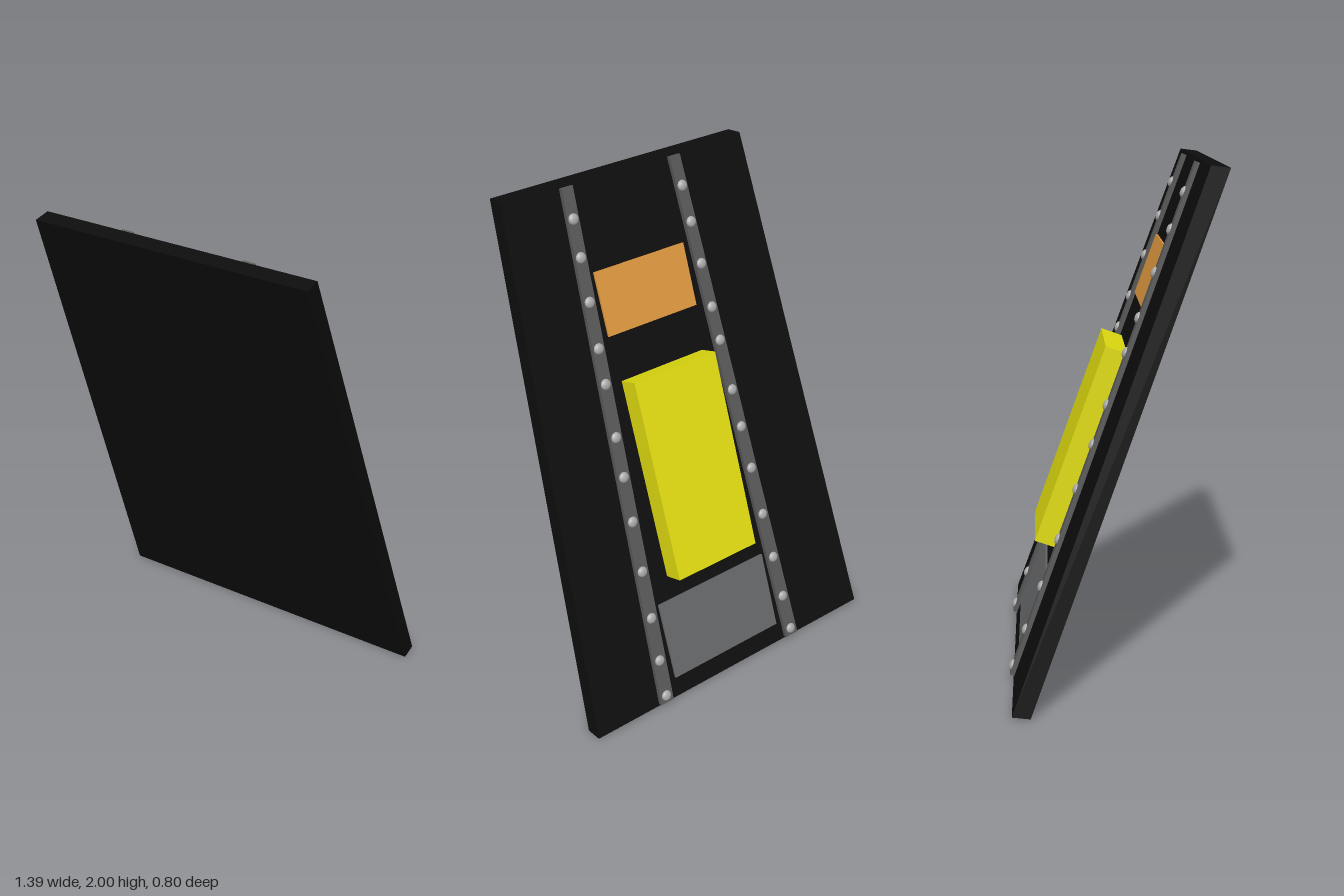
import * as THREE from 'three';

const mat = (color) => new THREE.MeshStandardMaterial({ color });

// Prism from an outline in the board's plane, between two depths (negative = towards the back)
function slab(name, points, z0, z1, material) {
  const shape = new THREE.Shape(points.map(([x, y]) => new THREE.Vector2(x, y)));
  const geo = new THREE.ExtrudeGeometry(shape, { depth: z1 - z0, bevelEnabled: false });
  geo.translate(0, 0, z0);
  const mesh = new THREE.Mesh(geo, material);
  mesh.name = name;
  return mesh;
}

const rect = (x0, x1, y0, y1) => [[x0, y0], [x1, y0], [x1, y1], [x0, y1]];

export function createModel() {
  const model = new THREE.Group();
  model.name = 'leaningPanel';

  // Leaning frame: local y runs up the slope, local z = 0 is the back surface
  const lean = new THREE.Group();
  lean.name = 'lean';
  lean.position.set(0, 1.005, -0.027);
  lean.rotation.x = 0.345;
  model.add(lean);

  // Tapered board, its ends slightly skewed
  const board = slab('board',
    [[-0.697, -1.057], [0.693, -1.057], [0.545, 1.057], [-0.573, 1.057]], 0, 0.068, mat(0x0d0d0d));
  const p = board.geometry.attributes.position;
  for (let i = 0; i < p.count; i++) p.setY(i, p.getY(i) + p.getZ(i) * 0.22);
  board.geometry.computeVertexNormals();
  lean.add(board);

  // Converging rails with a row of domed rivets
  const railMat = mat(0x585858);
  const rivetMat = mat(0xa8a8a8);
  const rivetGeo = new THREE.SphereGeometry(0.022, 16, 8, 0, Math.PI * 2, 0, Math.PI / 2);
  rivetGeo.rotateX(-Math.PI / 2);
  rivetGeo.scale(1, 1, 0.6);
  const rivetHeights = [-1.02, -0.865, -0.68, -0.48, -0.27, -0.085, 0.077, 0.29, 0.43, 0.61, 0.78, 0.925];
  const rails = [['rightRail', -0.312, -0.23], ['leftRail', 0.362, 0.27]];
  for (const [name, xBottom, xTop] of rails) {
    const rail = new THREE.Group();
    rail.name = name;
    rail.add(slab('railStrip', [
      [xBottom - 0.031, -1.05], [xBottom + 0.031, -1.05],
      [xTop + 0.025, 1.045], [xTop - 0.025, 1.045],
    ], -0.018, 0.002, railMat));
    for (const y of rivetHeights) {
      const rivet = new THREE.Mesh(rivetGeo, rivetMat);
      rivet.name = 'rivet';
      rivet.position.set(THREE.MathUtils.mapLinear(y, -1.05, 1.045, xBottom, xTop), y, -0.018);
      rail.add(rivet);
    }
    lean.add(rail);
  }

  // Raised box and two thin plates between the rails
  lean.add(slab('raisedBox', rect(-0.175, 0.22, -0.553, 0.274), -0.088, 0.002, mat(0xe0dc10)));
  lean.add(slab('upperPlate', rect(-0.19, 0.235, 0.457, 0.71), -0.009, 0.002, mat(0xdd963f)));
  lean.add(slab('lowerPlate', rect(-0.25, 0.293, -0.975, -0.65), -0.009, 0.002, mat(0x666769)));

  return model;
}
